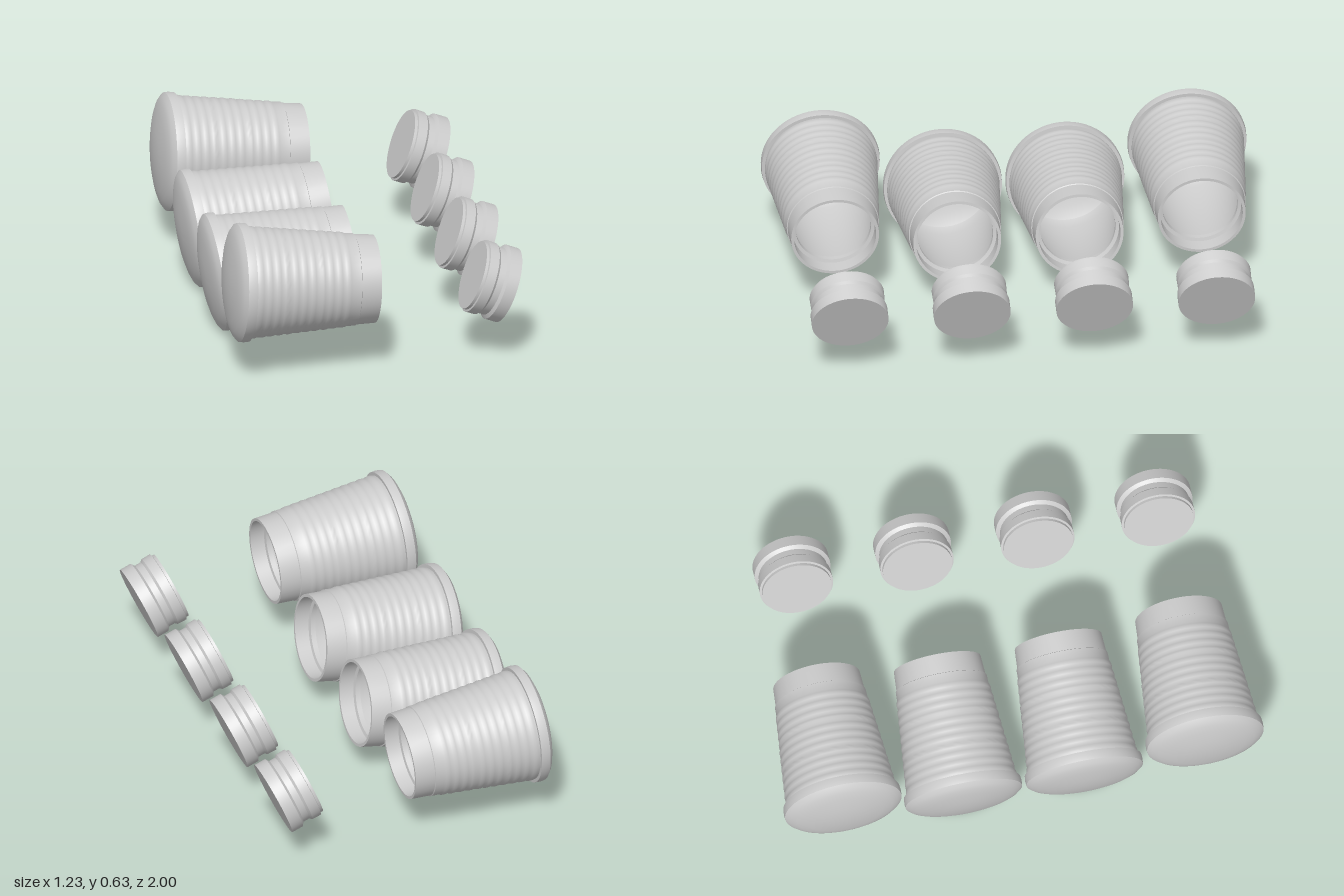
import * as THREE from 'three';
import { toCreasedNormals } from 'three/addons/utils/BufferGeometryUtils.js';

// Revolve a [radius, height] profile, keeping hard edges sharp
function revolve(points, segments = 64) {
  const lathe = new THREE.LatheGeometry(points.map(([r, y]) => new THREE.Vector2(r, y)), segments);
  return toCreasedNormals(lathe, THREE.MathUtils.degToRad(40));
}

// Rippled taper between the base band and the neck
function ripples(count = 11, steps = 4) {
  const points = [];
  for (let i = 0; i <= count * steps; i++) {
    const t = i / (count * steps);
    const bump = 0.004 * Math.abs(Math.sin(Math.PI * t * count));
    points.push([0.229 - 0.038 * t + bump, -0.53 + 0.41 * t]);
  }
  return points;
}

// Hollow cup: origin at the centre of the mouth, which opens along +y
function cupGeometry() {
  return revolve([
    [0, -0.617], [0.08, -0.613], [0.16, -0.602], [0.2, -0.592], [0.225, -0.582],
    [0.243, -0.568], [0.245, -0.55], [0.243, -0.53],
    ...ripples(),
    [0.19, -0.085], [0.186, -0.083], [0.181, 0],
    // mouth, inner ledge and cavity
    [0.169, 0], [0.169, -0.06], [0.155, -0.064], [0.155, -0.085], [0.175, -0.09],
    [0.218, -0.53], [0.2, -0.565], [0.15, -0.585], [0, -0.597],
  ]);
}

// Solid stopper: origin at the centre of its wide outer face
function stopperGeometry() {
  return revolve([
    [0, -0.152], [0.144, -0.152], [0.144, -0.14], [0.153, -0.138],
    [0.152, -0.098], [0.143, -0.088], [0.143, -0.06], [0.158, -0.05],
    [0.158, 0], [0, 0],
  ]);
}

export function createModel() {
  const model = new THREE.Group();
  const material = new THREE.MeshStandardMaterial({ color: 0xcccccc });
  material.name = 'paleGrey';
  const cup = cupGeometry();
  const stopper = stopperGeometry();

  // Place a part so that its axis points along +x, raised by the given angle
  function place(geometry, name, x, y, z, degrees) {
    const mesh = new THREE.Mesh(geometry, material);
    mesh.name = name;
    mesh.position.set(x, y, z);
    mesh.rotation.z = THREE.MathUtils.degToRad(degrees - 90);
    model.add(mesh);
  }

  for (const side of [-1, 1]) {
    const label = side < 0 ? 'Back' : 'Front';
    // outer cups tip down slightly, inner cups tip up
    place(cup, `outerCup${label}`, 0.002, 0.363, side * 0.755, -2.5);
    place(cup, `innerCup${label}`, 0, 0.304, side * 0.252, 6.3);
    for (const [name, z] of [['outer', 0.755], ['inner', 0.252]]) {
      place(stopper, `${name}Stopper${label}`, 0.558, 0.2925, side * z, -21.3);
    }
  }
  return model;
}
